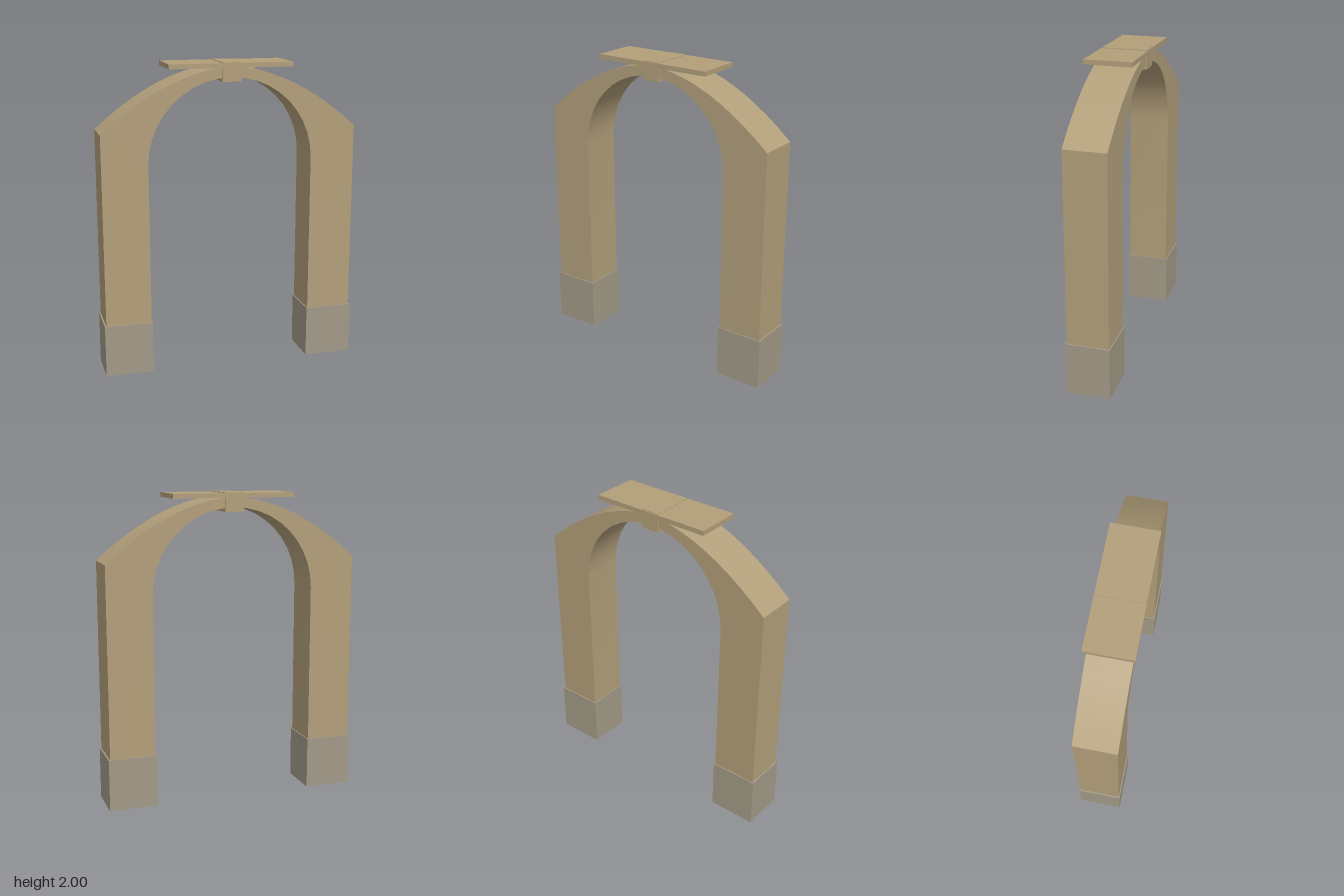
import * as THREE from 'three';
import { toCreasedNormals } from 'three/addons/utils/BufferGeometryUtils.js';

const sandstone = new THREE.MeshStandardMaterial({ color: 0xb29f7a });
const greyStone = new THREE.MeshStandardMaterial({ color: 0xa29a87 });

function addBox(group, name, material, [w, h, d], [x, bottom, z]) {
  const mesh = new THREE.Mesh(new THREE.BoxGeometry(w, h, d), material);
  mesh.name = name;
  mesh.position.set(x, bottom + h / 2, z);
  group.add(mesh);
}

// Two legs and a vault in one outline: domed outside, half-round inside
function archGeometry() {
  const outer = 0.83, inner = 0.535, depth = 0.27;
  const foot = 0.33, shoulder = 1.575, spring = 1.372, crown = 1.973;
  const shape = new THREE.Shape();
  shape.moveTo(outer, foot);
  shape.lineTo(outer, shoulder);
  shape.quadraticCurveTo(0.41, 1.95, 0, crown);
  shape.quadraticCurveTo(-0.41, 1.95, -outer, shoulder);
  shape.lineTo(-outer, foot);
  shape.lineTo(-inner, foot);
  shape.lineTo(-inner, spring);
  shape.absarc(0, spring, inner, Math.PI, 0, true);
  shape.lineTo(inner, foot);
  const geometry = new THREE.ExtrudeGeometry(shape, { depth, bevelEnabled: false, curveSegments: 10 });
  geometry.translate(0, 0, -depth / 2);
  return toCreasedNormals(geometry, 0.5);
}

export function createModel() {
  const group = new THREE.Group();
  group.name = 'stoneArch';

  const arch = new THREE.Mesh(archGeometry(), sandstone);
  arch.name = 'arch';
  group.add(arch);

  // Square plinth under each leg
  for (const [name, side] of [['leftPlinth', 1], ['rightPlinth', -1]]) {
    addBox(group, name, greyStone, [0.312, 0.338, 0.284], [side * 0.684, 0, 0]);
  }

  // Keystone and the flat cap across the crown
  addBox(group, 'keystone', sandstone, [0.12, 0.12, 0.29], [0, 1.88, 0]);
  addBox(group, 'capSlab', sandstone, [0.8, 0.03, 0.3], [0, 1.966, 0]);

  return group;
}
